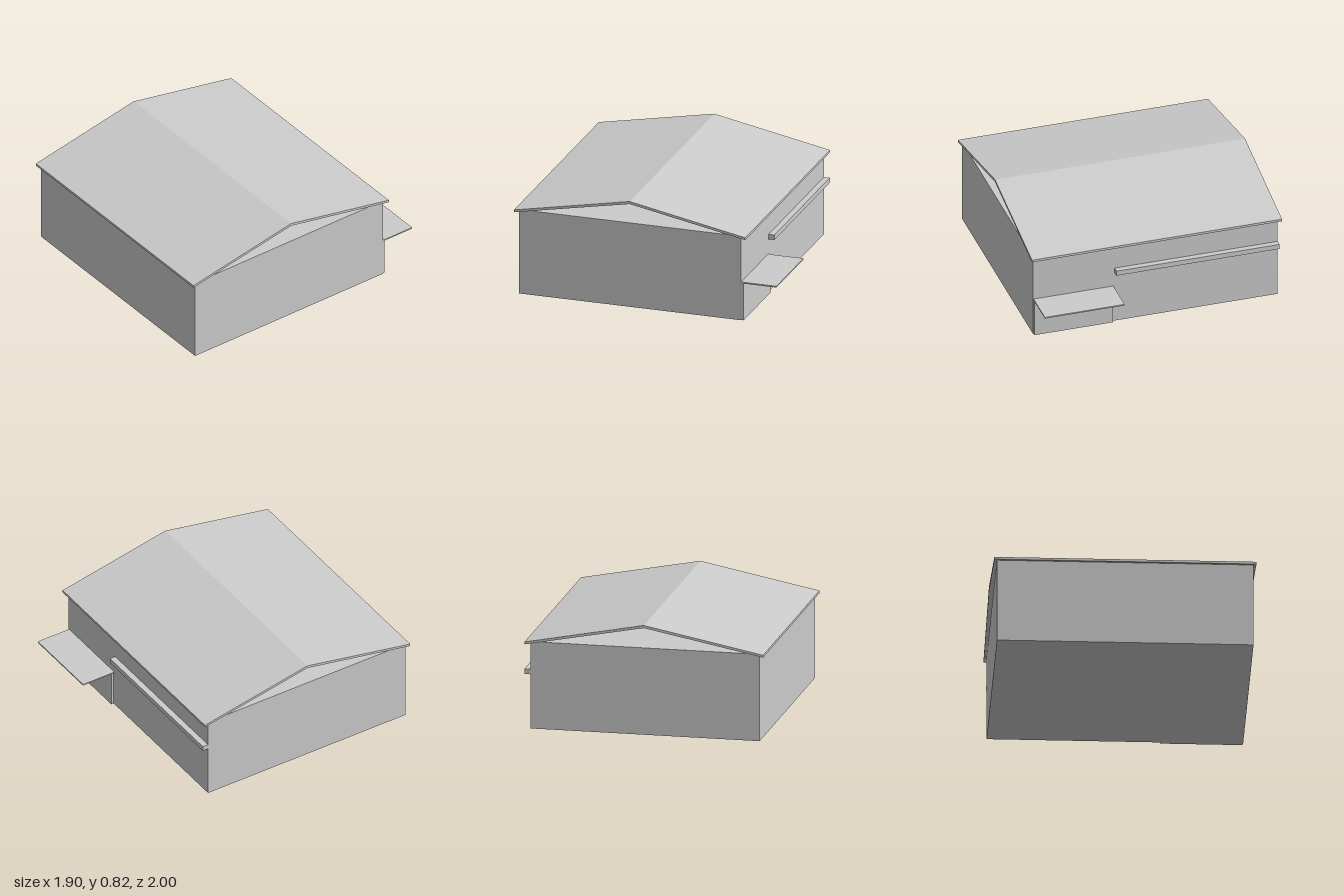
import * as THREE from 'three';

const material = new THREE.MeshStandardMaterial({ color: 0xcccccc, flatShading: true, side: THREE.DoubleSide });

// Box given by its extents along each axis
function box(name, [x0, x1], [y0, y1], [z0, z1]) {
  const mesh = new THREE.Mesh(new THREE.BoxGeometry(x1 - x0, y1 - y0, z1 - z0), material);
  mesh.position.set((x0 + x1) / 2, (y0 + y1) / 2, (z0 + z1) / 2);
  mesh.name = name;
  return mesh;
}

// Thin gable roof: (z, y) profile extruded along x, open at the gable ends
function roof(halfWidth) {
  const profile = [[1, 0.632], [1, 0.65], [0.115, 0.823], [-0.77, 0.65], [-0.77, 0.632], [0.115, 0.803]];
  const shape = new THREE.Shape(profile.map(([z, y]) => new THREE.Vector2(-z, y)));
  const geometry = new THREE.ExtrudeGeometry(shape, { depth: 2 * halfWidth, bevelEnabled: false });
  geometry.translate(0, 0, -halfWidth);
  geometry.rotateY(Math.PI / 2);
  const mesh = new THREE.Mesh(geometry, material);
  mesh.name = 'roof';
  return mesh;
}

export function createModel() {
  const group = new THREE.Group();
  group.name = 'building';
  group.add(
    box('walls', [-0.93, 0.93], [0, 0.65], [-0.73, 0.97]),
    roof(0.95),
    // Back door with its canopy, and the rail the door slides along
    box('backDoor', [0.33, 0.925], [0, 0.285], [-0.75, -0.73]),
    box('doorCanopy', [0.32, 0.925], [0.284, 0.294], [-1, -0.73]),
    box('wallRail', [-0.93, 0.31], [0.405, 0.443], [-0.775, -0.73]),
  );
  return group;
}
